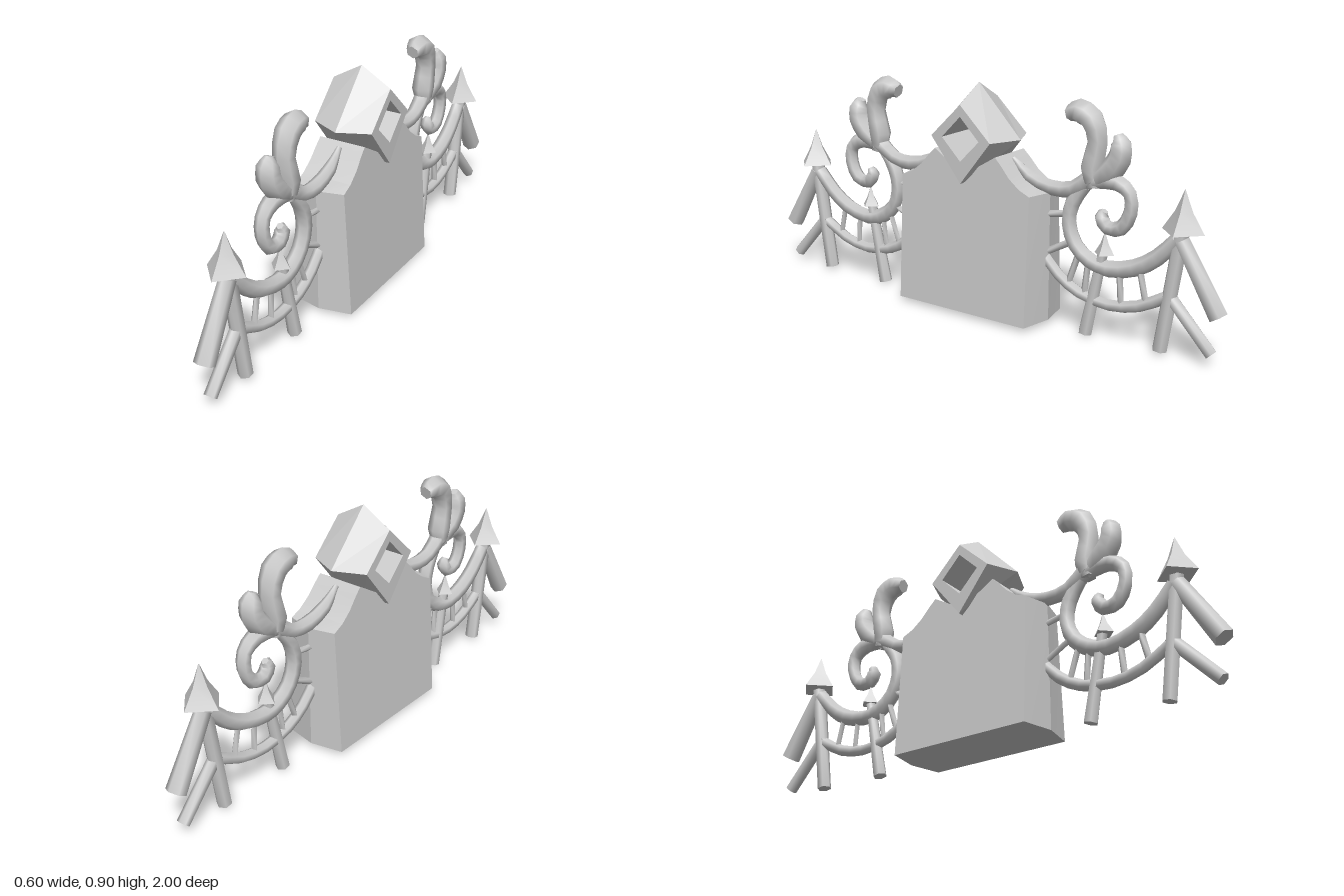
import * as THREE from 'three';
import { toCreasedNormals } from 'three/addons/utils/BufferGeometryUtils.js';

const material = new THREE.MeshStandardMaterial({ color: 0xcccccc });

function part(parent, name, geometry) {
  const mesh = new THREE.Mesh(geometry, material);
  mesh.name = name;
  parent.add(mesh);
  return mesh;
}

// Tapered six-sided bar through [x, y, radius] points, with closed ends
function bar(points, sides = 6, perSpan = 2) {
  const curve = new THREE.CatmullRomCurve3(points.map(([x, y]) => new THREE.Vector3(x, y, 0)));
  const spans = points.length - 1;
  const steps = spans === 1 ? 1 : spans * perSpan;
  const pos = [], index = [];
  const ring = (t) => {
    const c = curve.getPoint(t), d = curve.getTangent(t);
    const k = Math.min(Math.floor(t * spans), spans - 1);
    const r = THREE.MathUtils.lerp(points[k][2], points[k + 1][2], t * spans - k);
    for (let j = 0; j < sides; j++) {
      const a = (j / sides) * Math.PI * 2, n = Math.cos(a) * r;
      pos.push(c.x - d.y * n, c.y + d.x * n, Math.sin(a) * r);
    }
    return c;
  };
  for (let i = 0; i <= steps; i++) ring(i / steps);
  for (let i = 0; i < steps; i++) {
    for (let j = 0; j < sides; j++) {
      const a = i * sides + j, b = i * sides + (j + 1) % sides;
      index.push(a, b, a + sides, b, b + sides, a + sides);
    }
  }
  for (const t of [0, 1]) {
    const base = pos.length / 3, c = ring(t);
    pos.push(c.x, c.y, 0);
    for (let j = 0; j < sides; j++) {
      const a = base + j, b = base + (j + 1) % sides;
      index.push(base + sides, t ? a : b, t ? b : a);
    }
  }
  const g = new THREE.BufferGeometry();
  g.setAttribute('position', new THREE.Float32BufferAttribute(pos, 3));
  g.setIndex(index);
  g.computeVertexNormals();
  return g;
}

// Four-sided spear head
function spear(radius, height) {
  const profile = [[0.001, 0], [radius, 0.04 * height], [radius * 0.42, height * 0.5], [0.001, height]];
  const g = new THREE.LatheGeometry(profile.map(([x, y]) => new THREE.Vector2(x, y)), 4);
  return toCreasedNormals(g, 0.5);
}

// Slab with concave shoulders, thinner towards the top, ends folded outwards
function slabGeometry() {
  const half = [[0.296, 0.02], [0.296, 0.52], [0.25, 0.54], [0.205, 0.575], [0.17, 0.615], [0.14, 0.645]];
  const outline = [...half, [0, 0.56], ...half.map(([x, y]) => [-x, y]).reverse()];
  const shape = new THREE.Shape(outline.map(([x, y]) => new THREE.Vector2(x, y)));
  const g = new THREE.ExtrudeGeometry(shape, { depth: 1, steps: 2, bevelEnabled: false });
  const p = g.attributes.position;
  for (let i = 0; i < p.count; i++) {
    const x = p.getX(i), w = p.getZ(i) - 0.5;
    const depth = THREE.MathUtils.mapLinear(p.getY(i), 0.02, 0.52, 0.26, 0.205);
    p.setZ(i, w * depth);
    if (Math.abs(w) < 0.1 && Math.abs(x) > 0.29) p.setX(i, x * 1.09);
  }
  return toCreasedNormals(g, 0.35);
}

// Faceted diamond frame with a square hole through it
function diamondGeometry() {
  const ring = (side, top, bottom, z) => [[0, top, z], [side, 0.7, z], [0, bottom, z], [-side, 0.7, z]];
  const rings = [
    ring(0.135, 0.83, 0.53, 0.122),
    ring(0.19, 0.9, 0.52, 0),
    ring(0.135, 0.83, 0.53, -0.122),
    ring(0.085, 0.785, 0.615, -0.122),
    ring(0.085, 0.785, 0.615, 0.122),
  ];
  const pos = [];
  rings.forEach((a, k) => {
    const b = rings[(k + 1) % rings.length];
    for (let j = 0; j < 4; j++) {
      const n = (j + 1) % 4;
      pos.push(...a[j], ...a[n], ...b[j], ...a[n], ...b[n], ...b[j]);
    }
  });
  const g = new THREE.BufferGeometry();
  g.setAttribute('position', new THREE.Float32BufferAttribute(pos, 3));
  g.computeVertexNormals();
  return g;
}

// One wing of scrollwork and fence, reaching out along +x
function createWing() {
  const wing = new THREE.Group();

  // Scrollwork
  part(wing, 'shoulderArm', bar([[0.16, 0.63, 0.01], [0.23, 0.57, 0.025], [0.33, 0.54, 0.03],
    [0.42, 0.55, 0.03], [0.505, 0.61, 0.035]]));
  part(wing, 'upperRail', bar([[0.47, 0.57, 0.025], [0.42, 0.5, 0.03], [0.405, 0.42, 0.03],
    [0.435, 0.34, 0.03], [0.5, 0.29, 0.032], [0.575, 0.275, 0.032], [0.68, 0.3, 0.032],
    [0.765, 0.355, 0.03], [0.84, 0.435, 0.028]]));
  part(wing, 'tallLeaf', bar([[0.505, 0.57, 0.03], [0.495, 0.64, 0.045], [0.515, 0.735, 0.04],
    [0.49, 0.815, 0.046], [0.44, 0.837, 0.046], [0.395, 0.825, 0.028]]));
  part(wing, 'shortLeaf', bar([[0.5, 0.59, 0.03], [0.565, 0.635, 0.045], [0.605, 0.69, 0.045],
    [0.608, 0.74, 0.04], [0.595, 0.772, 0.018]]));
  part(wing, 'spiral', bar([[0.51, 0.6, 0.035], [0.6, 0.6, 0.032], [0.65, 0.565, 0.027],
    [0.655, 0.5, 0.027], [0.62, 0.437, 0.028], [0.565, 0.428, 0.028], [0.54, 0.465, 0.028],
    [0.553, 0.488, 0.014]]));

  // Lower rail and braces
  part(wing, 'lowerRail', bar([[0.28, 0.3, 0.022], [0.365, 0.21, 0.022], [0.455, 0.158, 0.022],
    [0.58, 0.137, 0.022], [0.7, 0.16, 0.022], [0.82, 0.225, 0.022]]));
  part(wing, 'lowerBrace', bar([[0.81, 0.235, 0.024], [0.985, 0.045, 0.024]]));
  part(wing, 'upperBrace', bar([[0.855, 0.435, 0.03], [1.003, 0.187, 0.038]]));

  // Balusters and ties to the slab
  const struts = [[0.45, 0.31, 0.405, 0.18], [0.49, 0.28, 0.475, 0.15], [0.62, 0.27, 0.63, 0.14],
    [0.7, 0.3, 0.73, 0.17], [0.29, 0.28, 0.42, 0.35], [0.29, 0.435, 0.41, 0.455]];
  for (const [x0, y0, x1, y1] of struts) {
    part(wing, 'strut', bar([[x0, y0, 0.013], [x1, y1, 0.013]], 4));
  }

  // Posts with spear heads
  part(wing, 'outerPost', bar([[0.79, 0.015, 0.028], [0.855, 0.47, 0.028]]));
  part(wing, 'outerSpear', spear(0.08, 0.155)).position.set(0.858, 0.46, 0);
  part(wing, 'innerPost', bar([[0.485, 0.008, 0.027], [0.55, 0.33, 0.02]]));
  part(wing, 'innerSpear', spear(0.04, 0.085)).position.set(0.556, 0.325, 0);
  return wing;
}

export function createModel() {
  const model = new THREE.Group();
  model.name = 'gatePillar';
  const turned = new THREE.Group();
  turned.name = 'turnedBody';
  turned.rotation.y = THREE.MathUtils.degToRad(75);
  model.add(turned);

  part(turned, 'slab', slabGeometry());
  part(turned, 'diamondFrame', diamondGeometry());
  for (const [name, angle] of [['backWing', 0], ['frontWing', Math.PI]]) {
    const wing = createWing();
    wing.name = name;
    wing.rotation.y = angle;
    turned.add(wing);
  }
  return model;
}
